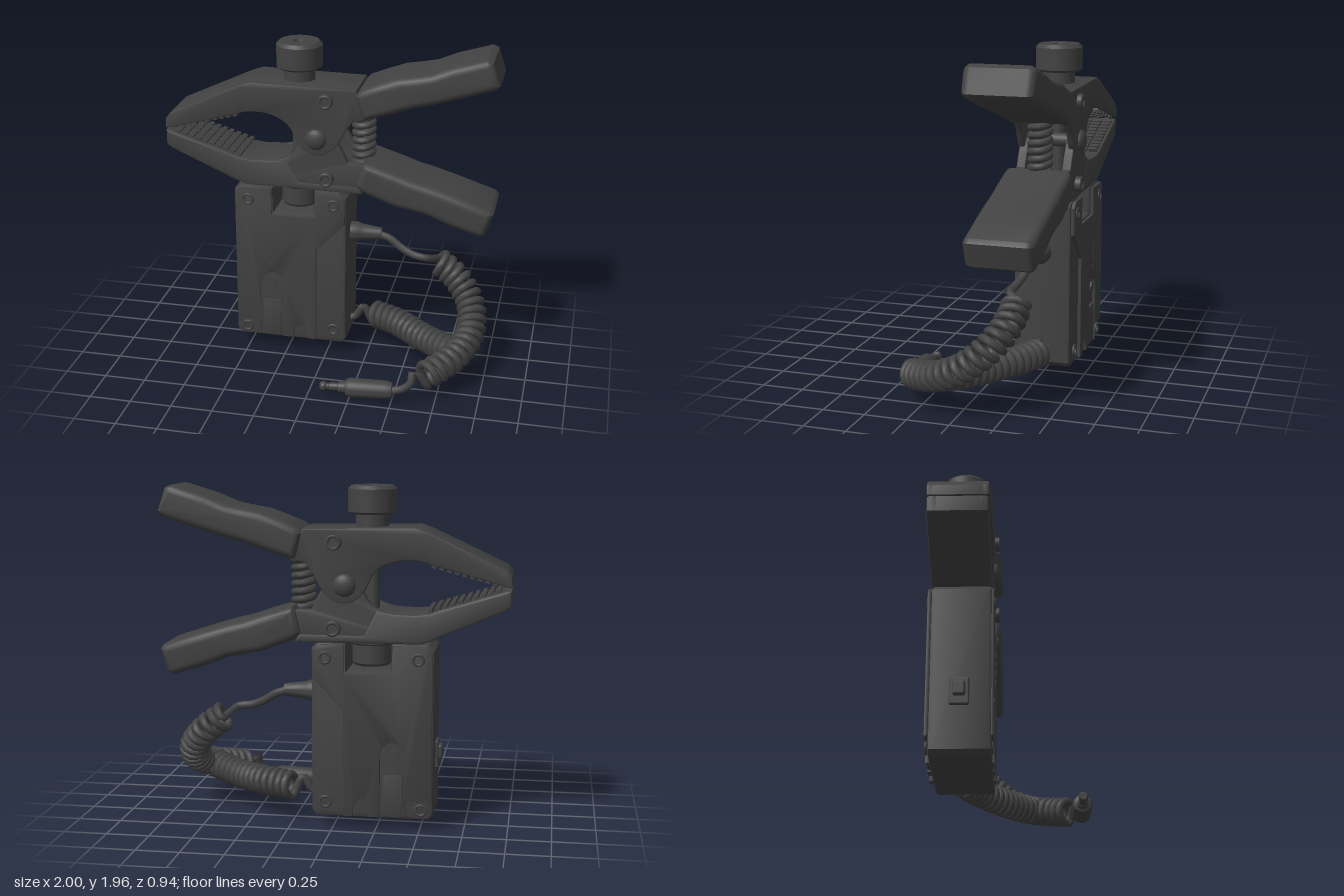
import * as THREE from 'three';
import { toCreasedNormals } from 'three/addons/utils/BufferGeometryUtils.js';
import { RoundedBoxGeometry } from 'three/addons/geometries/RoundedBoxGeometry.js';

const MID = -0.27; // centre plane of the clamp
const dark = new THREE.MeshStandardMaterial({ color: 0x424242 });
dark.name = 'dark grey';

const V = (x, y, z) => new THREE.Vector3(x, y, z);

export function createModel() {
  const root = new THREE.Group();
  root.name = 'springClampWithPack';

  function add(name, geo, x = 0, y = 0, z = 0, parent = root) {
    const m = new THREE.Mesh(geo, dark);
    m.name = name;
    m.position.set(x, y, z);
    parent.add(m);
    return m;
  }

  // Outline: plain [x, y] corners; an array of pairs is a smooth curve
  function outline(list, Type = THREE.Shape) {
    const s = new Type();
    list.forEach((p, i) => {
      if (Array.isArray(p[0])) s.splineThru(p.map(q => new THREE.Vector2(...q)));
      else if (i === 0) s.moveTo(...p);
      else s.lineTo(...p);
    });
    s.closePath();
    return s;
  }

  // Slab between two z planes with edges rounded inside the outline
  function slab(name, shape, z0, z1, bevel = 0.01, parent = root, segs = 2) {
    const g = new THREE.ExtrudeGeometry(shape, {
      depth: z1 - z0 - 2 * bevel, bevelEnabled: true, bevelThickness: bevel,
      bevelSize: bevel, bevelOffset: -bevel, bevelSegments: segs, curveSegments: 10,
    });
    g.translate(0, 0, z0 + bevel);
    return add(name, toCreasedNormals(g, 0.6), 0, 0, 0, parent);
  }

  // Round part along z
  function disc(name, x, y, r, z0, z1, parent = root) {
    const g = new THREE.CylinderGeometry(r, r, z1 - z0, 24);
    g.rotateX(Math.PI / 2);
    return add(name, g, x, y, (z0 + z1) / 2, parent);
  }

  function lathe(name, pts, x, y, z) {
    const g = new THREE.LatheGeometry(pts.map(p => new THREE.Vector2(...p)), 40);
    return add(name, toCreasedNormals(g, 0.5), x, y, z);
  }

  // ---- Jaws: solid nose and web, with two side cheeks ----
  const jaws = new THREE.Group();
  jaws.name = 'jaws';
  root.add(jaws);

  const upperCheek = outline([[-1, 1.41], [-1, 1.47], [-0.97, 1.51], [-0.54, 1.71], [-0.47, 1.735],
    [0.17, 1.725], [0.22, 1.55], [0.15, 1.53],
    [[0.11, 1.47], [0.06, 1.38], [0.0, 1.325], [-0.07, 1.305], [-0.14, 1.33], [-0.19, 1.39], [-0.23, 1.47],
      [-0.29, 1.52], [-0.38, 1.55], [-0.49, 1.55], [-0.56, 1.53]]]);
  const lowerCheek = outline([[-1, 1.4], [-0.97, 1.395], [-0.6, 1.28],
    [[-0.55, 1.26], [-0.46, 1.25], [-0.34, 1.255], [-0.25, 1.28], [-0.2, 1.33], [-0.15, 1.42],
      [-0.07, 1.47], [0.02, 1.43], [0.08, 1.35], [0.12, 1.27]],
    [0.23, 1.265], [0.21, 1.08], [-0.5, 1.085], [-0.56, 1.105], [-0.97, 1.285], [-1, 1.31]]);
  const upperCore = outline([[-1, 1.41], [-1, 1.47], [-0.97, 1.51], [-0.54, 1.71], [-0.47, 1.735],
    [0.17, 1.725], [0.18, 1.68], [-0.2, 1.68], [-0.29, 1.525], [-0.38, 1.555], [-0.49, 1.555], [-0.56, 1.53]]);
  const lowerCore = outline([[-1, 1.4], [-0.97, 1.395], [-0.6, 1.28], [-0.55, 1.26], [-0.46, 1.25],
    [-0.34, 1.255], [-0.25, 1.27], [-0.18, 1.13], [0.2, 1.13], [0.21, 1.08],
    [-0.5, 1.085], [-0.56, 1.105], [-0.97, 1.285], [-1, 1.31]]);
  slab('upperJawCore', upperCore, -0.44, -0.1, 0.015, jaws);
  slab('lowerJawCore', lowerCore, -0.44, -0.1, 0.015, jaws);
  for (const s of [1, -1]) {
    const plate = (name, shape, inner, outer) =>
      slab(name, shape, ...[MID + s * inner, MID + s * outer].sort((a, b) => a - b), 0.01, jaws);
    plate('upperCheek', upperCheek, 0.13, 0.171);
    plate('lowerCheek', lowerCheek, 0.11, 0.165);
  }

  // Teeth in rows along both gripping faces
  for (let i = 0; i < 10; i++) {
    for (let k = 0; k < 5; k++) {
      const t = i / 9, z = MID + (k - 2) * 0.064;
      const g = new THREE.BoxGeometry(0.026, 0.026, 0.05);
      add('upperTooth', g, -0.95 + t * 0.38, 1.425 + t * 0.1, z, jaws).rotation.z = 0.27;
      add('lowerTooth', g, -0.93 + t * 0.38, 1.384 - t * 0.115, z, jaws).rotation.z = -0.3;
    }
  }

  // Rivets and pivot
  disc('pivotPin', -0.07, 1.41, 0.04, -0.46, -0.08);
  for (const s of [1, -1]) {
    const cap = add('pivotCap', new THREE.SphereGeometry(0.065, 24, 12), -0.07, 1.41, MID + s * 0.17);
    cap.scale.z = 0.55;
    for (const [x, y] of [[-0.01, 1.65], [-0.005, 1.165]]) {
      const z = MID + s * 0.18;
      disc('rivetHead', x, y, 0.045, z - 0.015, z + 0.015);
      add('rivetRim', new THREE.TorusGeometry(0.035, 0.01, 8, 24), x, y, z + s * 0.013);
    }
  }

  // ---- Handles: padded grips, mirrored ----
  const grip = [[0.17, 1.7], [0.2, 1.735], [0.3, 1.775], [0.41, 1.815], [0.5, 1.83], [0.6, 1.85], [0.72, 1.9],
    [0.92, 1.96], [0.955, 1.945], [1.0, 1.81], [0.98, 1.785], [0.75, 1.71], [0.6, 1.665], [0.5, 1.64],
    [0.4, 1.605], [0.22, 1.55], [0.2, 1.57]];
  slab('upperHandle', outline(grip), -0.47, -0.07, 0.045, root, 5);
  slab('lowerHandle', outline(grip.map(([x, y]) => [x + 0.01 * (1 - x), 2.835 - y])), -0.47, -0.07, 0.045, root, 5);

  // Helix of wire wound round a path, with optional straight lead points at each end
  function coil(name, path, turns, R, r, before = [], after = []) {
    const curve = new THREE.CatmullRomCurve3(path);
    const n = turns * 12;
    const f = curve.computeFrenetFrames(n, false);
    const pts = [];
    for (let i = 0; i <= n; i++) {
      const a = i / 12 * Math.PI * 2;
      pts.push(curve.getPointAt(i / n)
        .addScaledVector(f.normals[i], Math.cos(a) * R)
        .addScaledVector(f.binormals[i], Math.sin(a) * R));
    }
    const wire = new THREE.CatmullRomCurve3([...before, ...pts, ...after]);
    // sample per control point, so the wire keeps round turns
    const g = new THREE.TubeGeometry(wire, n + 60, r, 8);
    return add(name, g);
  }

  coil('handleSpring', [V(0.19, 1.22, MID), V(0.19, 1.4, MID), V(0.19, 1.59, MID)], 8, 0.055, 0.021);

  // ---- Clamping screw ----
  const sx = -0.205;
  lathe('knob', [[0, 0.0], [0.125, 0], [0.138, 0.012], [0.138, 0.14], [0.12, 0.16], [0.035, 0.16],
    [0.03, 0.14], [0, 0.14]], sx, 1.8, MID);
  lathe('knobCollar', [[0, 0], [0.095, 0], [0.095, 0.1], [0, 0.1]], sx, 1.71, MID);
  lathe('screwShaft', [[0, 0], [0.045, 0], [0.045, 0.65], [0, 0.65]], sx, 1.08, MID);
  lathe('lowerCollar', [[0, 0], [0.1, 0], [0.112, 0.015], [0.112, 0.12], [0.125, 0.13], [0.125, 0.16], [0, 0.16]],
    sx, 0.94, MID);

  // ---- Pack ----
  const pack = new THREE.Group();
  pack.name = 'pack';
  root.add(pack);
  const body = outline([[-0.55, 0.07], [-0.58, 0.1], [-0.58, 1.05], [-0.54, 1.085], [-0.335, 1.085], [-0.335, 0.92],
    [-0.08, 0.92], [-0.08, 1.085], [0.08, 1.085], [0.12, 1.05], [0.12, 0.1], [0.09, 0.07]]);
  slab('packBody', body, -0.437, -0.093, 0.02, pack);

  // Raised cover with a diagonal edge, an arched slot and a small arch
  const cover = outline([[-0.41, 0.08], [-0.42, 0.36], [-0.42, 0.18], [-0.57, 0.18], [-0.57, 1.04], [-0.535, 1.075],
    [-0.345, 1.075], [-0.345, 0.91], [-0.07, 0.91], [-0.07, 1.075], [0.075, 1.075], [0.11, 1.04], [0.11, 0.88],
    [-0.065, 0.7], [-0.065, 0.08], [-0.12, 0.08],
    [[-0.125, 0.14], [-0.145, 0.17], [-0.165, 0.175], [-0.185, 0.17], [-0.205, 0.14]], [-0.21, 0.08],
    [-0.275, 0.08], [-0.275, 0.45], [[-0.29, 0.49], [-0.32, 0.515], [-0.35, 0.52], [-0.38, 0.51], [-0.41, 0.48]],
    [-0.42, 0.44], [-0.425, 0.08]].slice(2));
  for (const s of [1, -1]) {
    const zs = (a, b) => [MID + s * a, MID + s * b].sort((p, q) => p - q);
    slab('packCover', cover, ...zs(0.165, 0.187), 0.005, pack);
    slab('slotTongue', outline([[-0.405, 0.085], [-0.405, 0.33], [-0.29, 0.33], [-0.29, 0.085]]),
      ...zs(0.165, 0.183), 0.004, pack);
    disc('slotScrew', -0.35, 0.45, 0.03, ...zs(0.16, 0.186), pack);
    for (const [x, y] of [[-0.49, 1.0], [0.04, 1.0], [0.04, 0.16], [-0.51, 0.13]])
      add('cornerScrew', new THREE.TorusGeometry(0.03, 0.008, 8, 24), x, y, MID + s * (y > 0.5 ? 0.187 : 0.177), pack);
    for (let i = 0; i < 4; i++)
      add('indicatorSlit', new THREE.BoxGeometry(0.008, 0.03, 0.006), -0.35, 0.58 + i * 0.055, MID + s * 0.187, pack);
  }
  add('sideSwitchFrame', new RoundedBoxGeometry(0.03, 0.16, 0.11, 2, 0.01), -0.582, 0.43, MID, pack);
  add('sideSwitch', new RoundedBoxGeometry(0.05, 0.085, 0.07, 2, 0.015), -0.595, 0.44, MID, pack);

  // ---- Cables ----
  // Strain relief of the upper cable, turned to point along +x
  lathe('strainRelief', [[0, 0], [0.062, 0], [0.062, 0.05], [0.052, 0.07], [0.046, 0.12], [0.036, 0.2], [0, 0.2]],
    0.11, 0.77, -0.26).rotation.z = -Math.PI / 2;

  coil('upperCoiledCable',
    [V(0.66, 0.61, -0.28), V(0.78, 0.52, -0.26), V(0.88, 0.4, -0.17), V(0.905, 0.29, -0.03),
      V(0.86, 0.22, 0.12), V(0.77, 0.18, 0.25), V(0.68, 0.15, 0.34)],
    18, 0.068, 0.024,
    [V(0.29, 0.765, -0.26), V(0.36, 0.745, -0.255), V(0.43, 0.7, -0.24), V(0.51, 0.665, -0.22), V(0.6, 0.65, -0.22)],
    [V(0.62, 0.2, 0.38), V(0.61, 0.13, 0.405), V(0.56, 0.085, 0.41), V(0.49, 0.065, 0.41)]);

  coil('lowerCoiledCable',
    [V(0.26, 0.2, -0.29), V(0.42, 0.2, -0.21), V(0.6, 0.19, -0.07), V(0.76, 0.2, 0.06), V(0.84, 0.21, 0.13)],
    15, 0.066, 0.024, [V(0.1, 0.16, -0.27), V(0.15, 0.18, -0.27), V(0.2, 0.25, -0.27)]);

  // Plug: grip sleeve, shoulder and stepped tip, lying along x
  lathe('plug', [[0, 0], [0.02, 0], [0.028, 0.012], [0.028, 0.03], [0.018, 0.04], [0.018, 0.055], [0.024, 0.06],
    [0.024, 0.11], [0.034, 0.115], [0.034, 0.155], [0.05, 0.16], [0.058, 0.18], [0.055, 0.4], [0.045, 0.435], [0, 0.435]],
    0.07, 0.05, 0.41).rotation.z = -Math.PI / 2 + 0.05;

  return root;
}
